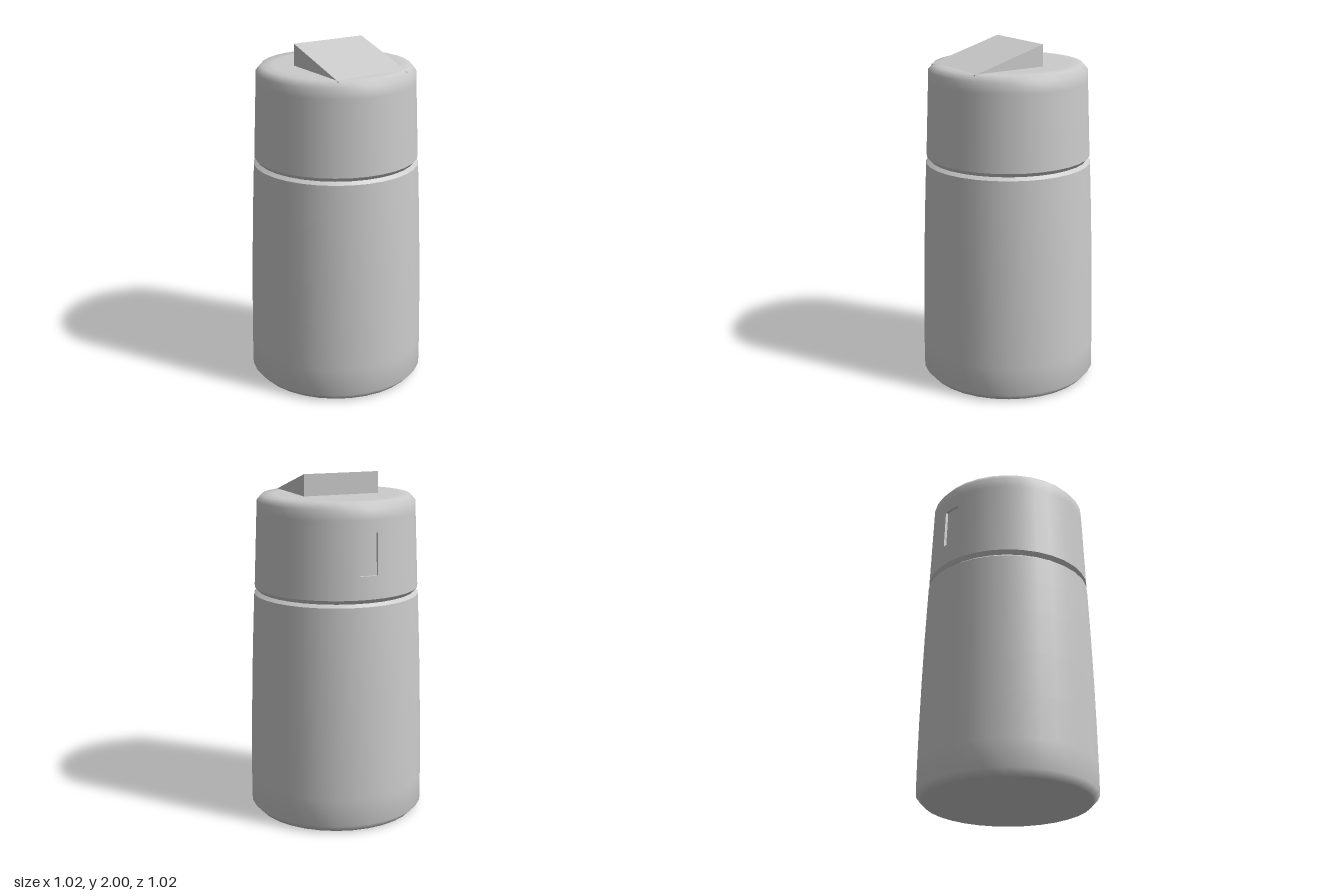
import * as THREE from 'three';

const SIDES = 32;
const STEP = (Math.PI * 2) / SIDES;
const material = new THREE.MeshStandardMaterial({ color: 0xcccccc });

function add(group, name, geometry) {
  const mesh = new THREE.Mesh(geometry, material);
  mesh.name = name;
  group.add(mesh);
}

function lathe(profile, sides = SIDES, start = 0, sweep = Math.PI * 2) {
  return new THREE.LatheGeometry(profile.map(([r, y]) => new THREE.Vector2(r, y)), sides, start, sweep);
}

// Lid wall radius at a height, and a point on its two rear facets
const lidRadius = (y) => 0.475 - ((y - 1.345) * 0.02) / 0.495;
function rearPoint(x, y, inset = 0) {
  return [x, y, -(lidRadius(y) - inset - Math.abs(x) * Math.tan(STEP / 2))];
}

// Quads listed counter-clockwise as seen from the side they face
function quads(list, smooth) {
  const geometry = new THREE.BufferGeometry();
  const points = list.flatMap(([a, b, c, d]) => [a, b, c, a, c, d]).flat();
  geometry.setAttribute('position', new THREE.Float32BufferAttribute(points, 3));
  geometry.computeVertexNormals();
  if (smooth) {
    // Radial normals continue the shading of the round wall
    const p = geometry.attributes.position;
    const n = new THREE.Vector3();
    for (let i = 0; i < p.count; i++) {
      n.set(p.getX(i), 0, p.getZ(i)).normalize().setY(0.04).normalize();
      geometry.attributes.normal.setXYZ(i, n.x, n.y, n.z);
    }
  }
  return geometry;
}

export function createModel() {
  const group = new THREE.Group();
  group.name = 'bottle';

  // Tapered body with a bevelled foot
  add(group, 'body', lathe([
    [0, 0], [0.475, 0], [0.512, 0.04], [0.511, 0.2], [0.507, 0.45],
    [0.501, 0.7], [0.493, 0.95], [0.485, 1.15], [0.478, 1.305],
  ]));

  // Seam between body and lid
  add(group, 'seamLowerBevel', lathe([[0.478, 1.305], [0.456, 1.322]]));
  add(group, 'seamUpperBevel', lathe([[0.456, 1.322], [0.475, 1.345]]));

  // Lid wall, open over the two rear facets that carry the slot
  const y0 = 1.345, y1 = 1.475, y2 = 1.71, y3 = 1.78;
  add(group, 'lidWall', lathe([[lidRadius(y0), y0], [lidRadius(y3), y3]],
    SIDES - 2, Math.PI + STEP, Math.PI * 2 - 2 * STEP));
  add(group, 'lidTop', lathe([
    [lidRadius(y3), y3], [0.455, 1.84], [0.425, 1.875], [0.36, 1.876], [0, 1.876],
  ]));

  // Rear panel around the slot, and the shallow slot itself
  const w = 0.055, depth = 0.018;
  const edge = (y) => lidRadius(y) * Math.sin(STEP);
  const face = [], floor = [], walls = [];
  for (const s of [-1, 1]) {
    const push = (target, ...corners) => target.push(s > 0 ? corners : corners.reverse());
    const out = (x, y) => rearPoint(s * x, y);
    const inn = (x, y) => rearPoint(s * x, y, depth);
    const patch = (target, at, xa, xb, ya, yb) =>
      push(target, at(xa(ya), ya), at(xa(yb), yb), at(xb(yb), yb), at(xb(ya), ya));
    const mid = () => 0, side = () => w;
    patch(face, out, mid, side, y0, y1);
    patch(face, out, mid, side, y2, y3);
    for (const [a, b] of [[y0, y1], [y1, y2], [y2, y3]]) patch(face, out, side, edge, a, b);
    patch(floor, inn, mid, side, y1, y2);
    push(walls, out(w, y1), inn(w, y1), inn(w, y2), out(w, y2));
    push(walls, out(0, y1), inn(0, y1), inn(w, y1), out(w, y1));
    push(walls, out(w, y2), inn(w, y2), inn(0, y2), out(0, y2));
  }
  add(group, 'lidRearPanel', quads(face, true));
  add(group, 'slotFloor', quads(floor, true));
  add(group, 'slotWalls', quads(walls, false));
  group.getObjectByName('slotWalls').material = new THREE.MeshStandardMaterial({
    color: 0xcccccc, side: THREE.DoubleSide,
  });

  // Wedge-shaped spout cover, sloping down to the front
  const wedge = new THREE.Shape([
    new THREE.Vector2(0.08, 1.86), new THREE.Vector2(0.08, 2),
    new THREE.Vector2(-0.37, 1.872), new THREE.Vector2(-0.37, 1.86),
  ]);
  const spout = new THREE.ExtrudeGeometry(wedge, { depth: 0.455, bevelEnabled: false });
  spout.rotateY(Math.PI / 2).translate(-0.2275, 0, 0);
  add(group, 'spoutWedge', spout);

  return group;
}
